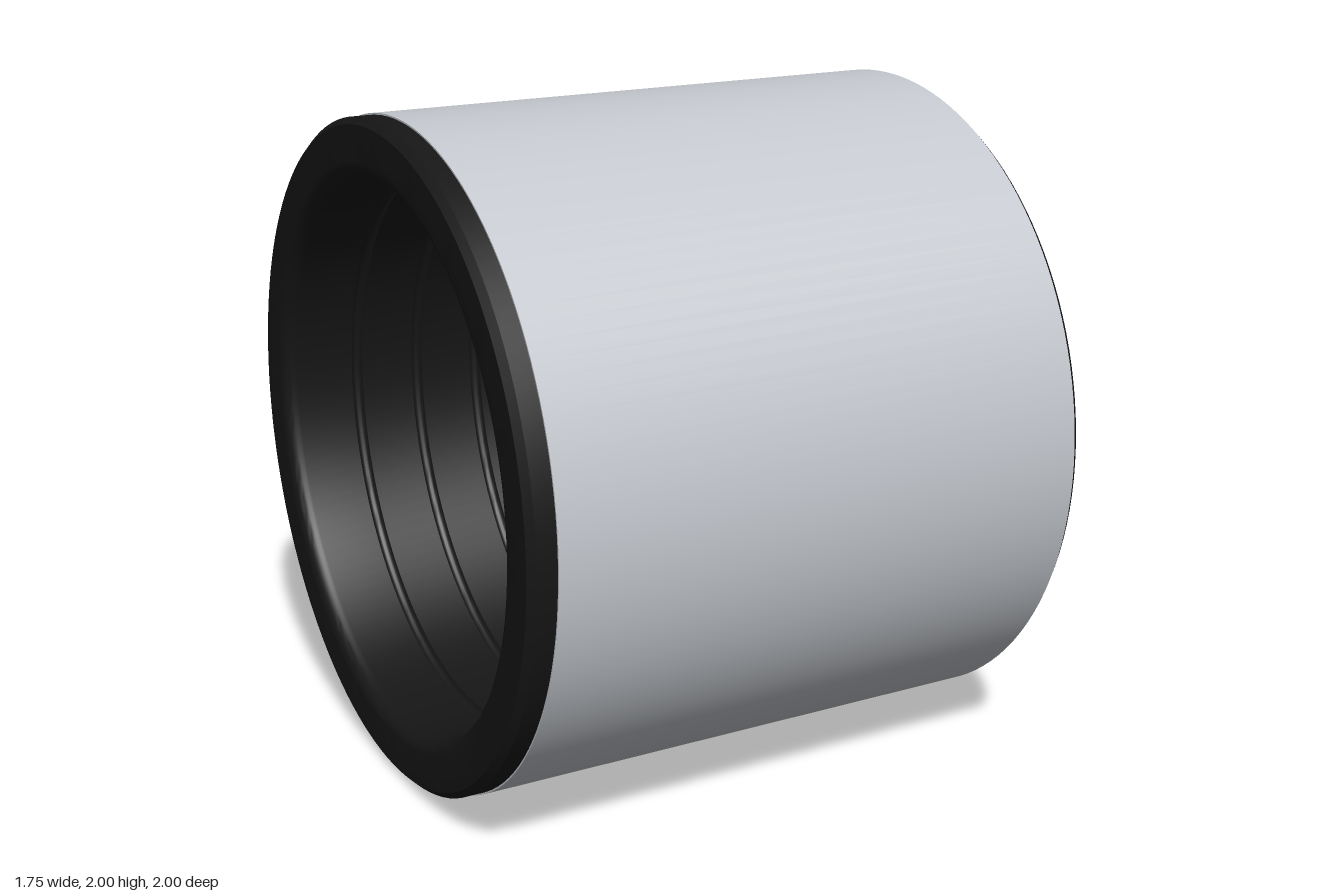
import * as THREE from 'three';
import { toCreasedNormals } from 'three/addons/utils/BufferGeometryUtils.js';

const SEGMENTS = 128;

// Revolve a closed [radius, x] profile around the x axis, keeping edges sharp
function revolve(name, profile, color) {
  const points = profile.map(([r, x]) => new THREE.Vector2(r, x));
  points.push(points[0].clone());
  const geometry = new THREE.LatheGeometry(points, SEGMENTS);
  geometry.rotateZ(-Math.PI / 2);
  const mesh = new THREE.Mesh(
    toCreasedNormals(geometry, 0.6),
    new THREE.MeshStandardMaterial({ color })
  );
  mesh.name = name;
  return mesh;
}

// Quarter round from the bore to an end face
function lip(bore, end, radius, side) {
  const points = [];
  for (let i = 0; i <= 8; i++) {
    const a = (i / 8) * Math.PI / 2;
    points.push([
      bore + radius * (1 - Math.sin(a)),
      end - side * radius * (1 - Math.cos(a)),
    ]);
  }
  return points;
}

export function createModel() {
  const group = new THREE.Group();
  group.name = 'linedBushing';

  // Outer metal tube
  group.add(revolve('outerSleeve', [
    [0.95, -0.8], [1, -0.8], [1, 0.858], [0.95, 0.858],
  ], 0xc4c8ce));

  // Dark liner: chamfered flange, hidden body, chamfered right rim
  const bore = 0.825;
  const profile = [
    [0.975, -0.88], [0.995, -0.86], [0.995, -0.8],
    [0.95, -0.8], [0.95, 0.858],
    [0.998, 0.858], [0.985, 0.875],
  ];
  profile.push(...lip(bore, 0.875, 0.045, 1));

  // Shallow round grooves along the bore
  const grooveRadius = 0.018;
  for (let i = 3; i >= -3; i--) {
    for (let k = 0; k <= 8; k++) {
      const a = (k / 8) * Math.PI;
      profile.push([
        bore + grooveRadius * Math.sin(a),
        i * 0.21 + grooveRadius * Math.cos(a),
      ]);
    }
  }
  profile.push(...lip(bore, -0.88, 0.045, -1).reverse());
  group.add(revolve('groovedLiner', profile, 0x161616));

  group.position.y = 1;
  const model = new THREE.Group();
  model.add(group);
  return model;
}
